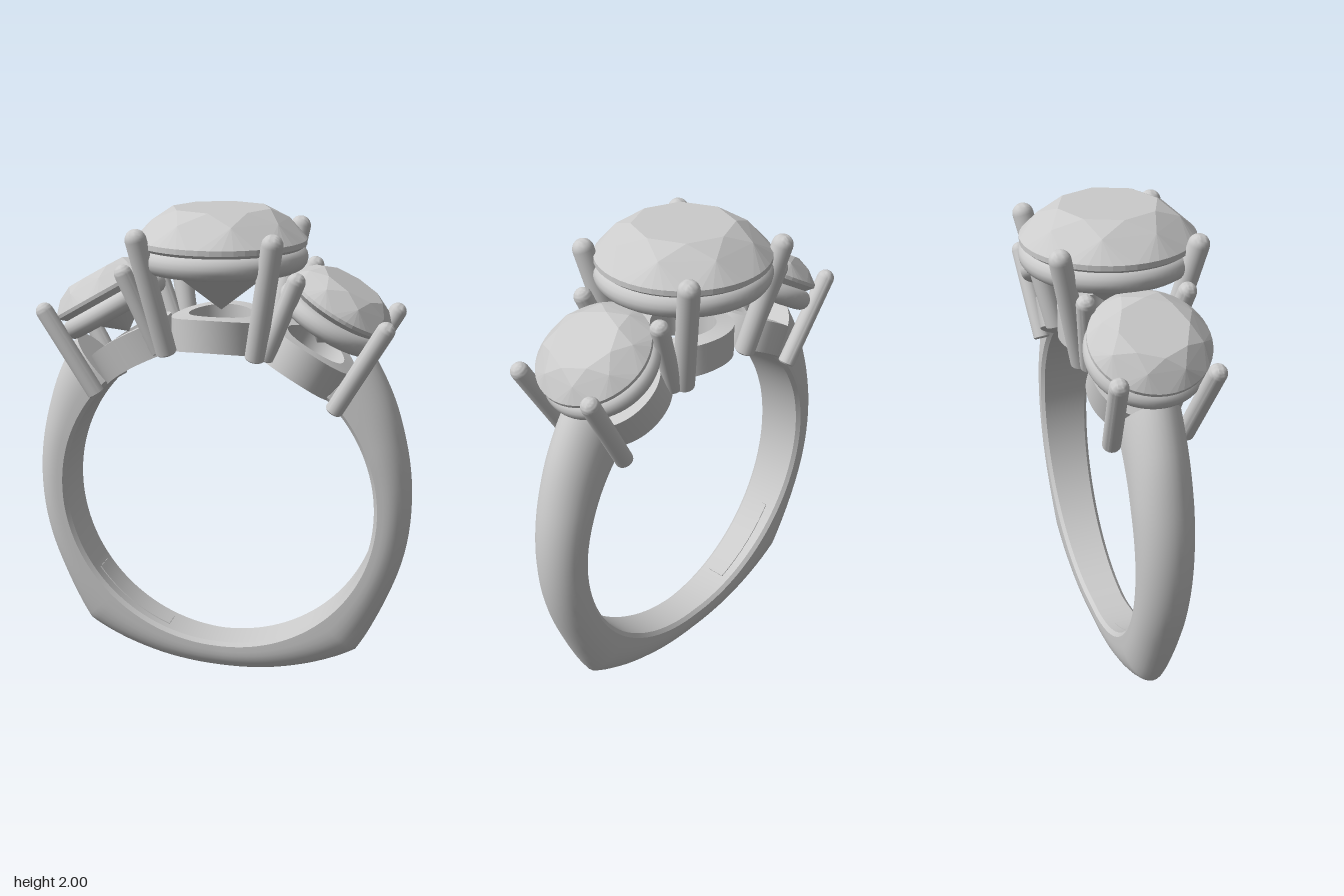
import * as THREE from 'three';
import { toCreasedNormals } from 'three/addons/utils/BufferGeometryUtils.js';
import { ConvexGeometry } from 'three/addons/geometries/ConvexGeometry.js';

const CENTRE_Y = 0.8;      // centre of the finger hole
const INNER = 0.66;        // radius of the finger hole
const TILT = Math.PI / 6;  // lean of the side settings
const RAD = Math.PI / 180;

const metal = new THREE.MeshStandardMaterial({ color: 0xcccccc });
const stone = new THREE.MeshStandardMaterial({ color: 0xcccccc, flatShading: true });

function add(parent, name, geometry, material = metal) {
  const mesh = new THREE.Mesh(geometry, material);
  mesh.name = name;
  parent.add(mesh);
  return mesh;
}

// Sweeps cross-sections of [z, radius] around the finger hole; angles start at the bottom
function sweep(stations, section) {
  const pos = [], index = [];
  let n = 0;
  for (const s of stations) {
    const loop = section(s);
    n = loop.length;
    for (const [z, r] of loop) pos.push(Math.sin(s.x * RAD) * r, CENTRE_Y - Math.cos(s.x * RAD) * r, z);
  }
  const last = (stations.length - 1) * n;
  for (let a = 0; a < last; a += n) {
    for (let j = 0; j < n; j++) {
      const k = (j + 1) % n;
      index.push(a + j, a + n + j, a + k, a + k, a + n + j, a + n + k);
    }
  }
  for (let j = 1; j < n - 1; j++) index.push(0, j, j + 1, last, last + j + 1, last + j);
  const g = new THREE.BufferGeometry();
  g.setAttribute('position', new THREE.Float32BufferAttribute(pos, 3));
  g.setIndex(index);
  return toCreasedNormals(g, 0.6);
}

// Outer edge of the band as (angle, radius), with a corner at each lower side
function bandStations() {
  const spline = (pts, n) => new THREE.SplineCurve(pts.map(p => new THREE.Vector2(...p))).getPoints(n);
  const side = spline([[43, 0.877], [55, 0.832], [68, 0.808], [90, 0.8], [110, 0.819],
    [125.5, 0.86], [137, 0.9]], 40);
  const base = spline([[-43, 0.877], [-21.4, 0.822], [0, 0.8], [21.4, 0.822], [43, 0.877]], 32);
  const mirrored = side.map(p => new THREE.Vector2(-p.x, p.y)).reverse();
  return [...mirrored, ...base.slice(1, -1), ...side];
}

// Rounded outside, flat inside with eased edges
function bandSection({ x: angle, y: outer }) {
  const w = 0.082 + 0.034 * Math.min(1, Math.abs(angle) / 110);
  const h = (outer - INNER) * 0.72;
  const loop = [[-w + 0.015, INNER], [-w, INNER + 0.015]];
  for (let k = 0; k <= 16; k++) {
    const a = Math.PI * (1 - k / 16);
    loop.push([w * Math.cos(a), outer - h + h * Math.sin(a)]);
  }
  loop.push([w, INNER + 0.015], [w - 0.015, INNER]);
  return loop;
}

// Round brilliant-cut stone of girdle radius 1
function gemGeometry() {
  const pts = [new THREE.Vector3(0, -0.82, 0)];
  const ring = (n, r, y, turn = 0) => {
    for (let i = 0; i < n; i++) {
      const a = (i + turn) / n * Math.PI * 2;
      pts.push(new THREE.Vector3(Math.cos(a) * r, y, Math.sin(a) * r));
    }
  };
  ring(8, 0.58, 0.376);
  ring(8, 0.8, 0.25, 0.5);
  ring(48, 1, 0.03);
  ring(48, 1, -0.03);
  ring(16, 0.54, -0.3, 0.5);
  return new ConvexGeometry(pts);
}

// Round collar whose ends are curved to follow the band
function collarGeometry(outer, hole) {
  const profile = [[hole, 0], [outer, 0], [outer, 1], [hole, 1], [hole, 0]];
  const g = new THREE.LatheGeometry(profile.map(p => new THREE.Vector2(...p)), 56);
  const p = g.attributes.position;
  for (let i = 0; i < p.count; i++) {
    const r = INNER + 0.13 * p.getY(i), x = p.getX(i);
    p.setY(i, Math.sqrt(r * r - x * x));
  }
  return toCreasedNormals(g, 0.6);
}

// Gem, rail and collar, measured out from the centre of the finger hole
function makeHead(name, { radius, girdle, rail, railRadius, railTube, collar }) {
  const head = new THREE.Group();
  head.name = name;
  head.position.y = CENTRE_Y;
  const gem = add(head, 'gem', gemGeometry(), stone);
  gem.scale.setScalar(radius);
  gem.position.y = girdle;
  const ring = add(head, 'galleryRail', new THREE.TorusGeometry(railRadius, railTube, 16, 64));
  ring.rotation.x = Math.PI / 2;
  ring.position.y = rail;
  add(head, 'collar', collarGeometry(collar, 0.13));
  return head;
}

// Straight prong with a flat foot and a domed tip
function addProng(parent, name, foot, tip, r) {
  const a = new THREE.Vector3(...foot), dir = new THREE.Vector3(...tip).sub(a);
  const len = dir.length();
  const profile = [new THREE.Vector2(0, 0), new THREE.Vector2(r * 0.85, 0), new THREE.Vector2(r, r * 0.15)];
  for (let k = 0; k <= 8; k++) {
    const t = k / 8 * Math.PI / 2;
    profile.push(new THREE.Vector2(k === 8 ? 0 : r * Math.cos(t), len + r * Math.sin(t)));
  }
  const mesh = add(parent, name, toCreasedNormals(new THREE.LatheGeometry(profile, 20), 0.6));
  mesh.position.copy(a);
  mesh.quaternion.setFromUnitVectors(new THREE.Vector3(0, 1, 0), dir.normalize());
}

export function createModel() {
  const model = new THREE.Group();
  model.name = 'threeStoneRing';

  add(model, 'band', sweep(bandStations(), bandSection));

  // Thin plain plate inside the band
  const plate = [];
  for (let a = -55; a <= -20; a += 2.5) plate.push(new THREE.Vector2(a, 0));
  add(model, 'innerPlate', sweep(plate, () =>
    [[-0.04, INNER - 0.004], [-0.04, INNER + 0.01], [0.04, INNER + 0.01], [0.04, INNER - 0.004]]));

  model.add(makeHead('centreHead',
    { radius: 0.34, girdle: 1.072, rail: 1.01, railRadius: 0.295, railTube: 0.05, collar: 0.2 }));

  for (const s of [1, -1]) {
    const label = s > 0 ? 'left' : 'right';
    const head = makeHead(label + 'Head',
      { radius: 0.23, girdle: 0.975, rail: 0.905, railRadius: 0.192, railTube: 0.042, collar: 0.188 });
    head.rotation.z = -s * TILT;
    model.add(head);

    for (const f of [1, -1]) {
      addProng(model, 'centreProng', [s * 0.18, 1.44, f * 0.165], [s * 0.265, 1.9, f * 0.265], 0.042);
      addProng(model, label + 'InnerProng', [s * 0.215, 1.44, f * 0.145], [s * 0.343, 1.755, f * 0.195], 0.036);
      addProng(model, label + 'OuterProng', [s * 0.49, 1.245, f * 0.145], [s * 0.685, 1.585, f * 0.182], 0.036);
    }
  }
  return model;
}
